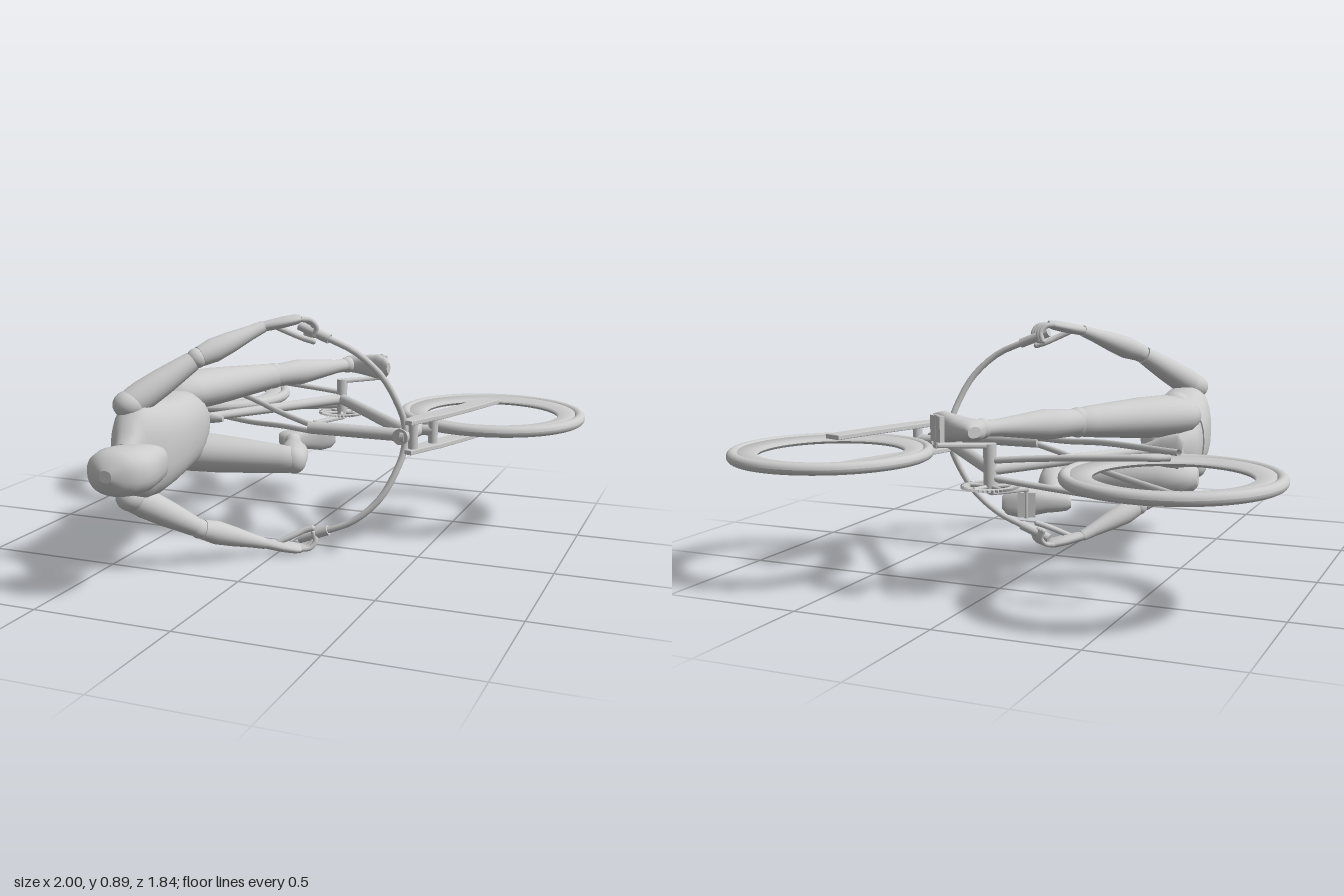
import * as THREE from 'three';

const C = 0.457; // height of the symmetry plane: bicycle and rider lie on their side
const P = (x, off, z) => new THREE.Vector3(x, C + off, z);

export function createModel() {
  const root = new THREE.Group();
  const mat = new THREE.MeshStandardMaterial({ color: 0xcccccc, side: THREE.DoubleSide });

  function add(name, geo, parent = root) {
    const m = new THREE.Mesh(geo, mat);
    m.name = name;
    parent.add(m);
    return m;
  }

  // Skin through superelliptic rings; row = [z, rx, ry, cx, cy]
  function loft(rows, pow = 1, n = 28) {
    const all = [[rows[0][0], 1e-4, 1e-4, rows[0][3], rows[0][4]], rows[0], ...rows, rows.at(-1),
      [rows.at(-1)[0], 1e-4, 1e-4, rows.at(-1)[3], rows.at(-1)[4]]];
    const pos = [], idx = [];
    const se = v => Math.sign(v) * Math.abs(v) ** pow;
    all.forEach(([z, rx, ry, cx = 0, cy = 0], i) => {
      for (let k = 0; k < n; k++) {
        const a = k / n * Math.PI * 2;
        pos.push(cx + rx * se(Math.cos(a)), cy + ry * se(Math.sin(a)), z);
        if (i < all.length - 1) {
          const p = i * n + k, q = i * n + (k + 1) % n;
          idx.push(p, q, p + n, q, q + n, p + n);
        }
      }
    });
    const g = new THREE.BufferGeometry();
    g.setAttribute('position', new THREE.Float32BufferAttribute(pos, 3));
    g.setIndex(idx);
    g.computeVertexNormals();
    return g;
  }

  // Loft running from a to b; row z is a fraction of the length
  function limb(name, a, b, rows, pow) {
    const len = a.distanceTo(b);
    const m = add(name, loft(rows.map(([t, ...r]) => [t * len, ...r]), pow));
    m.position.copy(a);
    m.lookAt(b);
    return m;
  }
  const rod = (name, a, b, r0, r1 = r0) => limb(name, a, b, [[0, r0, r0], [1, r1, r1]]);
  const tube = (name, pts, r) => add(name, new THREE.TubeGeometry(new THREE.CatmullRomCurve3(pts), 32, r, 12));
  function ball(name, p, rx, ry = rx, rz = rx) {
    const m = add(name, new THREE.SphereGeometry(1, 24, 16));
    m.position.copy(p);
    m.scale.set(rx, ry, rz);
  }

  // Wheels: round tyre and deep rim
  const tyre = [], rim = [[0.256, 0], [0.262, -0.009], [0.325, -0.016], [0.325, 0.016], [0.262, 0.009], [0.256, 0]];
  for (let i = 0; i <= 20; i++) {
    const a = i / 20 * Math.PI * 2;
    tyre.push(new THREE.Vector2(0.343 + 0.021 * Math.cos(a), 0.021 * Math.sin(a)));
  }
  for (const [name, x, z] of [['rearWheel', -0.636, -0.56], ['frontWheel', 0.631, -0.556]]) {
    const w = new THREE.Group();
    w.name = name;
    w.position.copy(P(x, 0, z));
    add('tyre', new THREE.LatheGeometry(tyre, 80), w);
    add('rim', new THREE.LatheGeometry(rim.map(p => new THREE.Vector2(...p)), 80), w);
    root.add(w);
  }

  // Frame
  const bb = P(-0.035, 0, -0.64);
  rod('topTube', P(0.42, 0, -0.043), P(0.05, 0, -0.043), 0.024);
  rod('downTube', bb, P(0.42, 0, -0.1), 0.022, 0.025);
  rod('seatTube', bb, P(-0.39, 0, -0.08), 0.022, 0.016);
  rod('headTube', P(0.435, 0, -0.17), P(0.42, 0, -0.005), 0.03);
  rod('bottomBracket', P(-0.035, -0.075, -0.64), P(-0.035, 0.085, -0.64), 0.022);
  for (const s of [-1, 1]) {
    tube('seatStay', [P(0.06, s * 0.012, -0.035), P(-0.1, s * 0.025, -0.14), P(-0.3, s * 0.05, -0.275), P(-0.635, s * 0.07, -0.497)], 0.011);
    tube('chainStay', [P(-0.05, s * 0.03, -0.64), P(-0.2, s * 0.045, -0.637), P(-0.56, s * 0.07, -0.637), P(-0.6, s * 0.07, -0.625), P(-0.637, s * 0.07, -0.598)], 0.011);
  }
  limb('saddle', P(-0.52, 0, -0.06), P(-0.32, 0, -0.06),
    [[0, 0.012, 0.04], [0.1, 0.02, 0.065], [0.4, 0.02, 0.05], [0.7, 0.018, 0.022], [1, 0.01, 0.012]]);

  // Fork: crown with two broad, gently bent blades
  const bladePath = new THREE.CatmullRomCurve3([[0.445, -0.01], [0.475, -0.1], [0.51, -0.19], [0.57, -0.36], [0.628, -0.55]]
    .map(([x, z]) => new THREE.Vector3(x, -z, 0)));
  const edge = side => bladePath.getPoints(24).map((p, i) => {
    const t = bladePath.getTangent(i / 24), w = 0.02 + 0.012 * Math.min(1, i / 10);
    return new THREE.Vector2(p.x - side * t.y * w, p.y + side * t.x * w);
  });
  const blade = new THREE.Shape([...edge(1), ...edge(-1).reverse()]);
  for (const s of [-1, 1]) {
    const g = new THREE.ExtrudeGeometry(blade, { depth: 0.012, bevelSize: 0.003, bevelThickness: 0.003, bevelSegments: 2 });
    g.translate(0, 0, -0.006).rotateX(-Math.PI / 2);
    add('forkBlade', g).position.set(0, C + s * 0.055, 0);
  }
  for (const [x, z] of [[0.46, -0.04], [0.5, -0.165]])
    rod('forkCrown', P(x, -0.06, z), P(x, 0.06, z), 0.018);
  rod('forkBridge', P(0.43, 0, -0.165), P(0.5, 0, -0.165), 0.02);

  // Chainring with teeth and spider
  const ring = new THREE.Shape(), teeth = 40;
  for (let i = 0; i <= teeth * 2; i++) {
    const a = i / teeth * Math.PI, r = i % 2 ? 0.098 : 0.087;
    ring[i ? 'lineTo' : 'moveTo'](r * Math.cos(a), r * Math.sin(a));
  }
  ring.holes.push(new THREE.Path().absarc(0, 0, 0.07, 0, Math.PI * 2, true));
  const cr = add('chainring', new THREE.ExtrudeGeometry(ring, { depth: 0.008, bevelEnabled: false }).rotateX(Math.PI / 2));
  cr.position.copy(P(-0.035, -0.054, -0.64));
  for (let i = 0; i < 5; i++) {
    const a = i / 5 * Math.PI * 2;
    rod('spiderArm', P(-0.035, -0.058, -0.64), P(-0.035 + 0.076 * Math.cos(a), -0.058, -0.64 + 0.076 * Math.sin(a)), 0.007);
  }

  // Legs: thigh, knee, shin, shoe, pedal and crank
  const legs = {
    left: { s: 1, knee: [-0.235, -0.365], ankle: [-0.03, -0.69], dir: [0.857, 0.514] },
    right: { s: -1, knee: [-0.005, -0.03], ankle: [-0.15, -0.37], dir: [0.933, -0.36] },
  };
  for (const [side, { s, knee, ankle, dir: [dx, dz] }] of Object.entries(legs)) {
    const hip = P(-0.455, s * 0.115, 0.04), kn = P(knee[0], s * 0.13, knee[1]), an = P(ankle[0], s * 0.14, ankle[1]);
    limb(side + 'Thigh', hip, kn, [[-0.2, 0.03, 0.03], [-0.16, 0.065, 0.05], [-0.05, 0.095, 0.07], [0.1, 0.102, 0.076], [0.35, 0.09, 0.073],
      [0.65, 0.07, 0.063], [0.9, 0.055, 0.054], [1, 0.046, 0.048], [1.06, 0.03, 0.03]]);
    ball(side + 'HipJoint', P(-0.46, s * 0.15, 0.045), 0.055, 0.05, 0.055);
    ball(side + 'Knee', kn, 0.046, 0.052, 0.046);
    limb(side + 'Shin', kn, an, [[0, 0.046, 0.046], [0.15, 0.052, 0.048], [0.35, 0.056, 0.052], [0.6, 0.044, 0.04], [0.85, 0.03, 0.028], [1, 0.03, 0.027]]);
    ball(side + 'Ankle', an, 0.034);

    // Shoe frame: x toward the sole, z toward the toe
    const at = (f, d, off = an.y - C) => P(ankle[0] + dx * f + dz * d, off, ankle[1] + dz * f - dx * d);
    const heel = at(-0.06, 0.1);
    limb(side + 'Shoe', heel, at(0.175, 0.1), [[0, 0.024, 0.018, -0.034], [0.06, 0.042, 0.03, -0.046], [0.2, 0.056, 0.036, -0.056],
      [0.35, 0.047, 0.038, -0.047], [0.55, 0.032, 0.046, -0.032], [0.75, 0.026, 0.052, -0.026], [0.92, 0.02, 0.042, -0.022], [1, 0.01, 0.022, -0.02]], 0.8);
    const pedal = add(side + 'Pedal', new THREE.BoxGeometry(0.018, 0.085, 0.06));
    pedal.position.copy(at(0.09, 0.112));
    pedal.lookAt(at(0.2, 0.112));
    limb(side + 'Crank', P(-0.035, s * 0.078, -0.64), at(0.09, 0.115, s * 0.085), [[0, 0.018, 0.009], [1, 0.013, 0.008]], 0.6);
    rod(side + 'PedalAxle', at(0.09, 0.115, s * 0.075), at(0.09, 0.115, s * 0.185), 0.008);
  }

  // Body
  const body = (name, rows, pow) => { add(name, loft(rows, pow)).position.y = C; };
  body('pelvis', [[-0.06, 0.04, 0.04, -0.44], [-0.03, 0.08, 0.07, -0.442], [0.03, 0.108, 0.11, -0.44], [0.1, 0.117, 0.135, -0.425],
    [0.16, 0.12, 0.14, -0.41], [0.21, 0.118, 0.138, -0.402]], 0.85);
  body('torso', [[0.18, 0.126, 0.145, -0.405], [0.3, 0.128, 0.149, -0.385], [0.4, 0.125, 0.158, -0.367], [0.5, 0.113, 0.17, -0.356],
    [0.57, 0.094, 0.168, -0.353], [0.61, 0.075, 0.145, -0.352], [0.645, 0.055, 0.09, -0.345], [0.69, 0.044, 0.055, -0.33]], 0.82);
  rod('neck', P(-0.335, 0, 0.64), P(-0.265, 0, 0.76), 0.044, 0.05);
  body('head', [[0.657, 0.022, 0.04, -0.208], [0.668, 0.04, 0.055, -0.212], [0.7, 0.06, 0.067, -0.225], [0.74, 0.078, 0.075, -0.235], [0.785, 0.103, 0.08, -0.25],
    [0.83, 0.11, 0.081, -0.26], [0.87, 0.097, 0.075, -0.265], [0.897, 0.065, 0.055, -0.268], [0.914, 0.022, 0.02, -0.268]], 0.85);

  // Handlebar, arms and hands, mirrored across the symmetry plane
  tube('handlebar', [1, -1].flatMap(s => {
    const half = [[0.07, 0.4, 0.08], [0.17, 0.36, 0.078], [0.27, 0.315, 0.068], [0.36, 0.23, 0.038], [0.41, 0.13, 0.005], [0.432, 0.05, -0.02]]
      .map(([x, o, z]) => P(x, s * o, z));
    return s > 0 ? half : half.reverse();
  }), 0.012);
  rod('stem', P(0.42, 0, -0.02), P(0.435, 0, -0.02), 0.024);
  for (const s of [-1, 1]) {
    const Q = (x, o, z) => P(x, s * o, z), side = s > 0 ? 'left' : 'right';
    const shoulder = Q(-0.375, 0.165, 0.565), elbow = Q(-0.205, 0.31, 0.385), wrist = Q(-0.04, 0.405, 0.18);
    rod(side + 'Grip', Q(0.06, 0.403, 0.08), Q(0.175, 0.358, 0.078), 0.018);
    ball(side + 'Shoulder', shoulder, 0.058, 0.05, 0.058);
    limb(side + 'UpperArm', shoulder, elbow, [[0, 0.05, 0.05], [0.2, 0.056, 0.053], [0.5, 0.05, 0.048], [0.8, 0.041, 0.039], [0.93, 0.037, 0.035]]);
    ball(side + 'Elbow', elbow, 0.036);
    limb(side + 'Forearm', elbow, wrist, [[0.05, 0.036, 0.036], [0.25, 0.045, 0.043], [0.5, 0.039, 0.037], [0.8, 0.028, 0.026], [1, 0.024, 0.021]]);
    limb(side + 'Palm', wrist, Q(0.075, 0.432, 0.11), [[-0.08, 0.02, 0.017], [0.15, 0.028, 0.019], [0.5, 0.042, 0.02], [0.85, 0.043, 0.018], [1, 0.034, 0.013]]);
    for (let i = 0; i < 4; i++) {
      const x = 0.04 + 0.015 * i, z = 0.092 + 0.011 * i;
      tube(side + 'Finger', [Q(x, 0.43, z), Q(x + 0.03, 0.425, z - 0.018), Q(x + 0.045, 0.4, z - 0.032), Q(x + 0.035, 0.37, z - 0.035)], 0.0095);
      ball(side + 'Fingertip', Q(x + 0.035, 0.37, z - 0.035), 0.0095);
    }
    tube(side + 'Thumb', [Q(0, 0.405, 0.16), Q(0.05, 0.38, 0.135), Q(0.09, 0.36, 0.11), Q(0.12, 0.35, 0.1)], 0.011);
    ball(side + 'ThumbTip', Q(0.12, 0.35, 0.1), 0.011);
  }
  return root;
}
